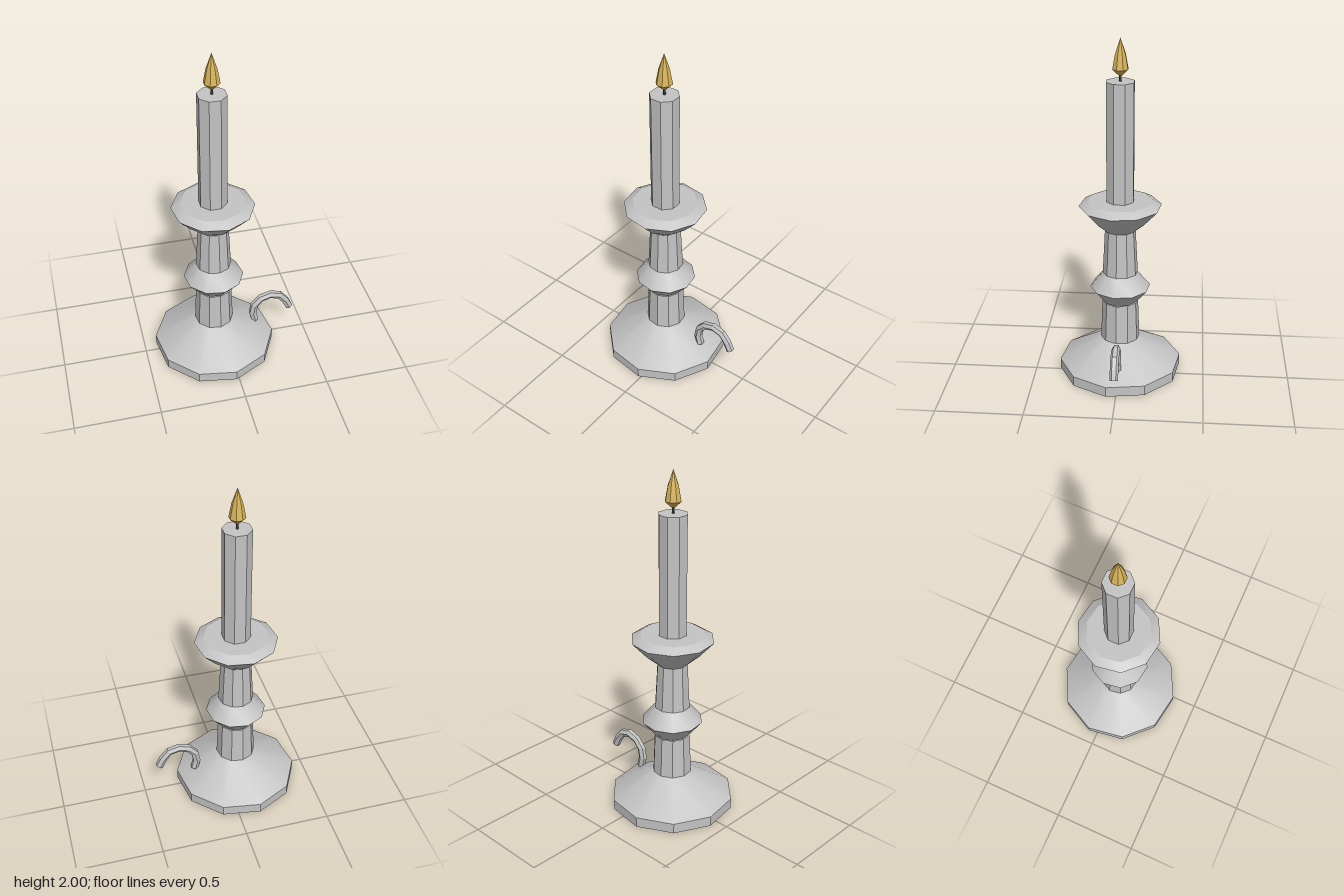
import * as THREE from 'three';
import { toCreasedNormals, mergeGeometries } from 'three/addons/utils/BufferGeometryUtils.js';

const AXIS_X = -0.072;
const CREASE = THREE.MathUtils.degToRad(31);

// Faceted turned part from [radius, y] pairs, bottom to top
function turned(profile, sides, startDegrees) {
  const points = profile.map(([r, y]) => new THREE.Vector2(r, y));
  const lathe = new THREE.LatheGeometry(points, sides, THREE.MathUtils.degToRad(startDegrees));
  return toCreasedNormals(lathe, CREASE);
}

// Faceted bar along a curve, closed at both ends
function cappedBar(curve, segments, radius, sides) {
  const tube = new THREE.TubeGeometry(curve, segments, radius, sides, false);
  const index = Array.from(tube.index.array);
  const last = segments * (sides + 1);
  for (let j = 1; j < sides - 1; j++) {
    index.push(0, j, j + 1);
    index.push(last, last + j + 1, last + j);
  }
  tube.setIndex(index);
  return toCreasedNormals(tube, 0.1);
}

export function createModel() {
  const metal = new THREE.MeshStandardMaterial({ color: 0xc4c4c4 });
  metal.name = 'pale grey';
  const dark = new THREE.MeshStandardMaterial({ color: 0x3a3a3a });
  dark.name = 'wick grey';
  const gold = new THREE.MeshStandardMaterial({ color: 0xd8b458 });
  gold.name = 'flame gold';

  const model = new THREE.Group();
  model.name = 'candlestick';
  const add = (name, geometry, material, x = AXIS_X, y = 0) => {
    const mesh = new THREE.Mesh(geometry, material);
    mesh.name = name;
    mesh.position.set(x, y, 0);
    model.add(mesh);
  };

  // Ten-sided turned holder, from the foot to the drip cup
  add('base', turned([[0, 0], [0.36, 0], [0.36, 0.06], [0.114, 0.21]], 10, 9), metal);
  add('lowerStem', turned([[0.114, 0.21], [0.105, 0.45]], 10, 9), metal);
  add('knop', turned([[0.1, 0.45], [0.175, 0.54], [0.1, 0.63]], 10, 9), metal);
  add('upperStem', turned([[0.102, 0.63], [0.088, 0.9]], 10, 9), metal);
  add('dripCup', turned([[0, 0.897], [0.088, 0.897], [0.155, 0.955], [0.237, 1.045],
    [0.185, 1.075], [0, 1.075]], 10, 9), metal);

  // Eight-sided candle, wick and flame
  add('candle', turned([[0, 1.07], [0.082, 1.07], [0.082, 1.763], [0, 1.763]], 8, 22.5), metal);
  add('wick', new THREE.CylinderGeometry(0.007, 0.007, 0.07, 6), dark, AXIS_X, 1.79);
  add('flame', turned([[0, 1.797], [0.012, 1.797], [0.046, 1.83], [0.031, 1.91], [0, 2]], 8, 22.5), gold);

  // Curled finger hook on the left side
  const path = [[0.187, 0.12], [0.172, 0.185], [0.193, 0.257], [0.265, 0.301], [0.348, 0.281], [0.404, 0.185]];
  const curve = new THREE.CatmullRomCurve3(path.map(([x, y]) => new THREE.Vector3(x, y, 0)));
  add('handle', cappedBar(curve, 7, 0.024, 6), metal, 0);

  return model;
}
